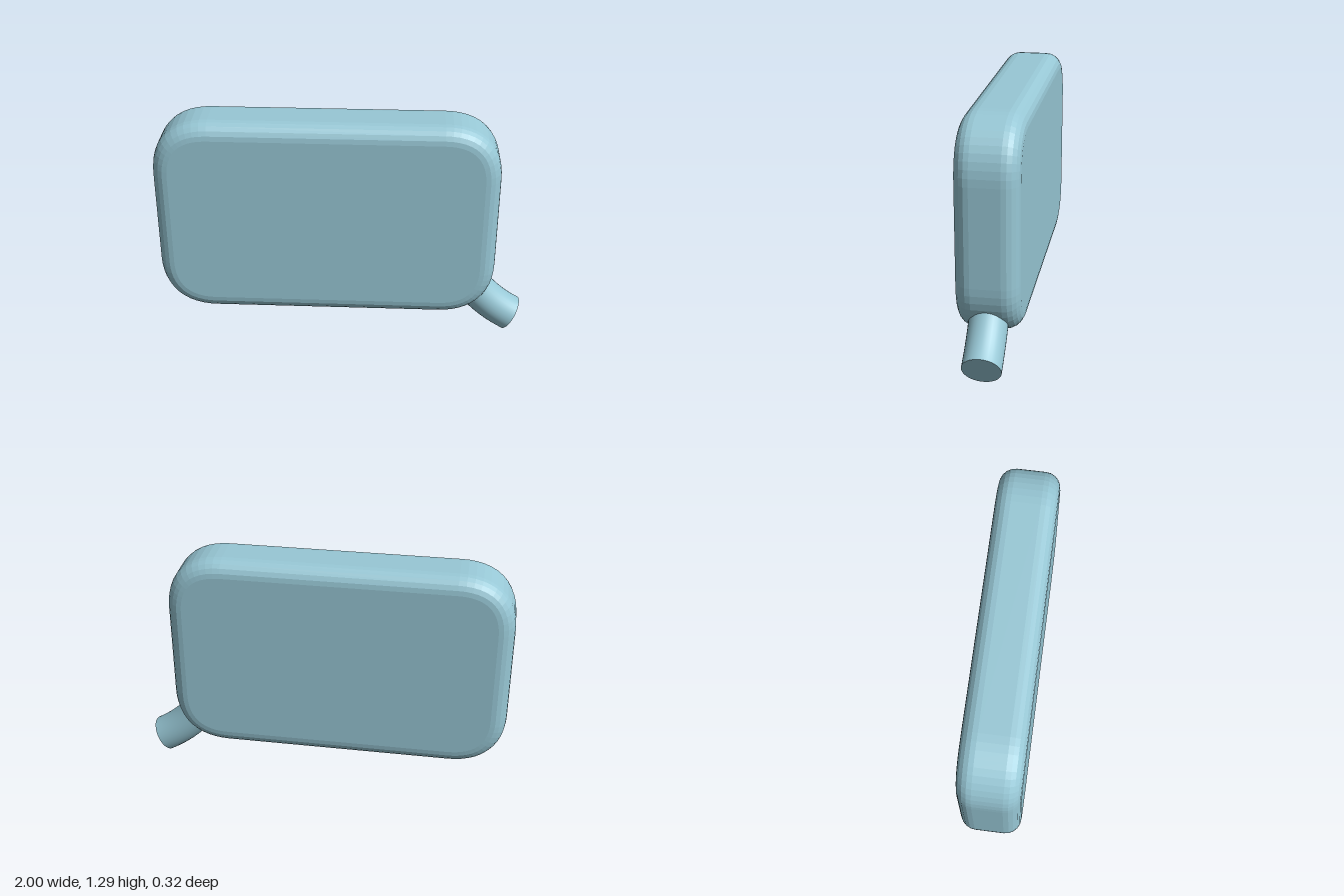
import * as THREE from 'three';

const material = new THREE.MeshStandardMaterial({ color: 0x98c8d6 });

function addMesh(parent, name, geometry) {
  const mesh = new THREE.Mesh(geometry, material);
  mesh.name = name;
  parent.add(mesh);
  return mesh;
}

// Rectangle with softly curved corners, centred on the origin
function softRectangle(width, height, r) {
  const x = width / 2, y = height / 2;
  const shape = new THREE.Shape();
  shape.moveTo(-x + r, -y);
  shape.lineTo(x - r, -y);
  shape.quadraticCurveTo(x, -y, x, -y + r);
  shape.lineTo(x, y - r);
  shape.quadraticCurveTo(x, y, x - r, y);
  shape.lineTo(-x + r, y);
  shape.quadraticCurveTo(-x, y, -x, y - r);
  shape.lineTo(-x, -y + r);
  shape.quadraticCurveTo(-x, -y, -x + r, -y);
  return shape;
}

export function createModel() {
  const model = new THREE.Group();
  model.name = 'pouch';

  // Flat body with rounded rims front and back
  const bevel = 0.085, depth = 0.325;
  const bodyGeometry = new THREE.ExtrudeGeometry(
    softRectangle(1.835 - 2 * bevel, 1.125 - 2 * bevel, 0.22),
    {
      depth: depth - 2 * bevel,
      bevelSize: bevel,
      bevelThickness: bevel,
      bevelSegments: 5,
      curveSegments: 12,
    },
  );
  bodyGeometry.center();
  addMesh(model, 'body', bodyGeometry).position.set(-0.0825, 0.7225, 0);

  // Bent spout leaving the lower left corner
  const spout = new THREE.Group();
  spout.name = 'spout';
  model.add(spout);
  const path = new THREE.QuadraticBezierCurve3(
    new THREE.Vector3(0.68, 0.34, 0),
    new THREE.Vector3(0.79, 0.175, 0),
    new THREE.Vector3(0.949, 0.087, 0),
  );
  const radius = 0.1, sides = 32;
  addMesh(spout, 'spoutTube', new THREE.TubeGeometry(path, 20, radius, sides));

  // Flat discs closing both ends of the tube
  for (const [name, t, sign] of [['spoutInnerCap', 0, -1], ['spoutEndCap', 1, 1]]) {
    const cap = addMesh(spout, name, new THREE.CircleGeometry(radius, sides));
    cap.position.copy(path.getPoint(t));
    cap.quaternion.setFromUnitVectors(
      new THREE.Vector3(0, 0, 1),
      path.getTangent(t).multiplyScalar(sign),
    );
  }

  return model;
}
